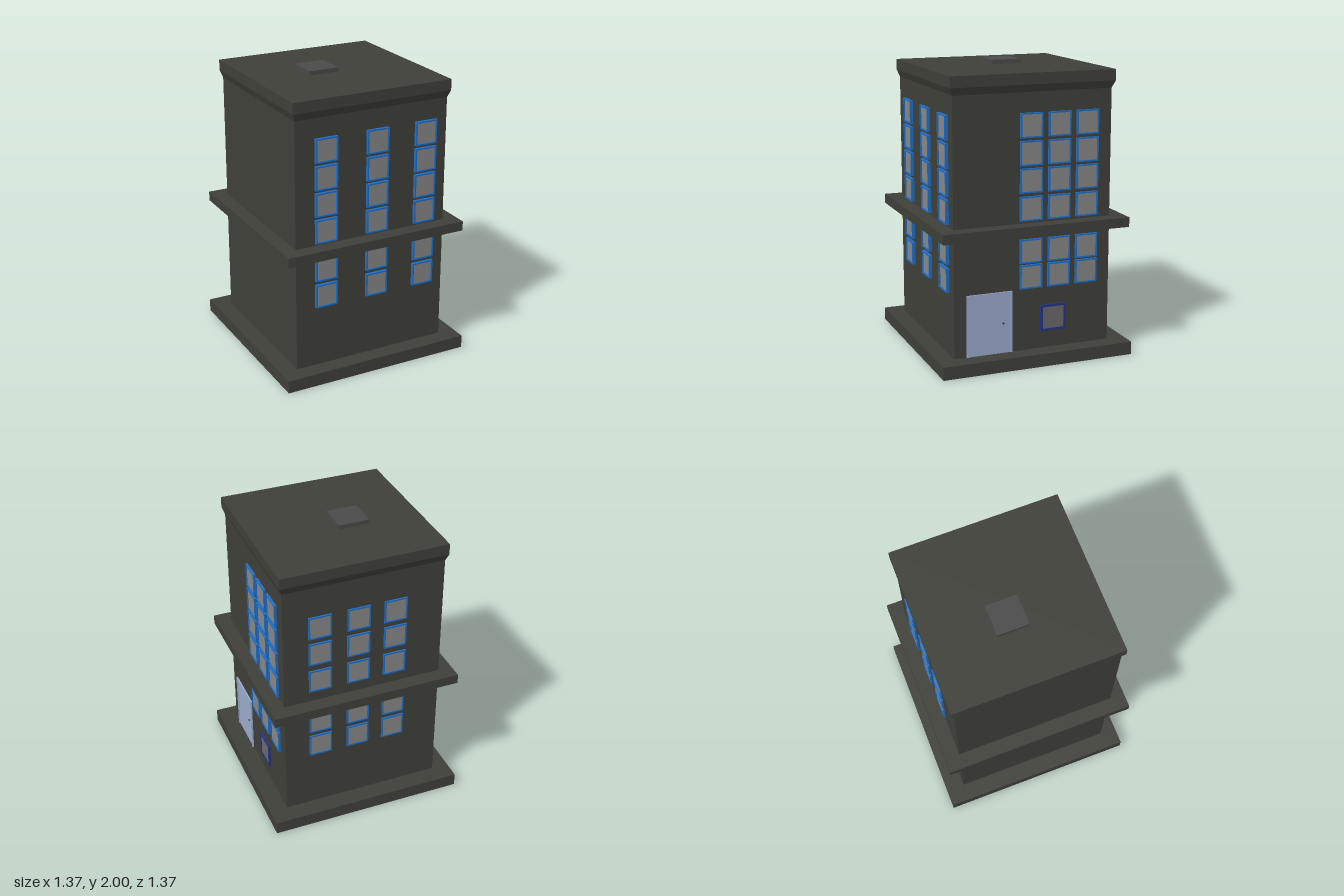
import * as THREE from 'three';

const mat = (color) => new THREE.MeshStandardMaterial({ color });
const wallMat = mat(0x40403a);
const ventMat = mat(0x4a4a4b);
const frameMat = mat(0x1f6fc8);
const paneMat = mat(0x888888);
const doorMat = mat(0x9cacce);
const navyMat = mat(0x26357f);
const darkPaneMat = mat(0x6a6a6a);
const knobMat = mat(0x2a2f3a);

// Box between two corners
function block(name, [x0, y0, z0], [x1, y1, z1], material) {
  const g = new THREE.BoxGeometry(x1 - x0, y1 - y0, z1 - z0);
  g.translate((x0 + x1) / 2, (y0 + y1) / 2, (z0 + z1) / 2);
  const m = new THREE.Mesh(g, material);
  m.name = name;
  return m;
}

// Rectangular frame around the origin, back on z = 0
function frame(name, w, h, border, depth, material) {
  const rect = (path, a, b) => path.moveTo(-a, -b).lineTo(a, -b).lineTo(a, b).lineTo(-a, b).closePath();
  const shape = rect(new THREE.Shape(), w / 2, h / 2);
  shape.holes.push(rect(new THREE.Path(), w / 2 - border, h / 2 - border));
  const m = new THREE.Mesh(new THREE.ExtrudeGeometry(shape, { depth, bevelEnabled: false }), material);
  m.name = name;
  return m;
}

// Framed window facing +z
function makeWindow(w, h, border, depth, fMat, pMat) {
  const g = new THREE.Group();
  g.name = 'window';
  g.add(frame('windowFrame', w, h, border, depth, fMat));
  g.add(block('windowPane', [-w / 2 + border, -h / 2 + border, 0], [w / 2 - border, h / 2 - border, depth * 0.6], pMat));
  return g;
}

// Grid of windows on a wall plane; columns run along the group's local x
function windowGrid(name, columns, rows, depth) {
  const g = new THREE.Group();
  g.name = name;
  for (const x of columns) {
    for (const y of rows) {
      const win = makeWindow(0.16, 0.165, 0.01, depth, frameMat, paneMat);
      win.position.set(x, y, 0);
      g.add(win);
    }
  }
  return g;
}

export function createModel() {
  const model = new THREE.Group();
  model.name = 'building';

  // Main masses
  model.add(block('base', [-0.685, 0, -0.685], [0.683, 0.09, 0.685], wallMat));
  model.add(block('walls', [-0.565, 0.09, -0.557], [0.56, 1.86, 0.567], wallMat));
  model.add(block('ledge', [-0.665, 0.905, -0.66], [0.66, 0.972, 0.67], wallMat));

  // Roof cornice with a flared underside
  const lo = [-0.582, 1.845, -0.578], hi = [0.578, 1.895, 0.586];
  model.add(block('cornice', [lo[0], 1.895, lo[2]], [hi[0], 1.97, hi[2]], wallMat));
  const flare = block('corniceFlare', lo, hi, wallMat);
  const p = flare.geometry.attributes.position;
  for (let i = 0; i < p.count; i++) {
    if (p.getY(i) < 1.87) {
      p.setX(i, p.getX(i) < 0 ? -0.565 : 0.56);
      p.setZ(i, p.getZ(i) < 0 ? -0.557 : 0.567);
    }
  }
  flare.geometry = flare.geometry.toNonIndexed();
  flare.geometry.computeVertexNormals();
  model.add(flare);

  // Roof hatch
  model.add(block('roofHatch', [-0.212, 1.965, -0.137], [0.002, 2, 0.08], ventMat));

  // Windows on three sides
  const sixRows = [1.628, 1.442, 1.258, 1.072, 0.8, 0.608];
  const front = windowGrid('frontWindows', [-0.345, 0.033, 0.397], sixRows, 0.022);
  front.position.z = 0.567;
  const sideRows = [1.628, 1.443, 1.26, 1.072, 0.782, 0.605];
  const side = windowGrid('sideWindows', [-0.022, 0.18, 0.382], sideRows, 0.016);
  side.position.x = 0.56;
  side.rotation.y = Math.PI / 2;
  const back = windowGrid('backWindows', [-0.305, -0.035, 0.225], [1.548, 1.345, 1.133, 0.79, 0.595], 0.012);
  back.position.z = -0.557;
  back.rotation.y = Math.PI;
  model.add(front, side, back);

  // Small entrance window
  const small = makeWindow(0.185, 0.185, 0.016, 0.014, navyMat, darkPaneMat);
  small.name = 'entranceWindow';
  small.position.set(0.56, 0.302, -0.143);
  small.rotation.y = Math.PI / 2;
  model.add(small);

  // Door: three-sided surround, leaf and knob
  const door = new THREE.Group();
  door.name = 'door';
  door.add(block('doorLeaf', [0.555, 0.09, 0.17], [0.564, 0.503, 0.465], doorMat));
  door.add(block('doorJamb', [0.555, 0.09, 0.465], [0.571, 0.503, 0.48], doorMat));
  door.add(block('doorJamb', [0.555, 0.09, 0.155], [0.571, 0.503, 0.17], doorMat));
  door.add(block('doorLintel', [0.555, 0.503, 0.155], [0.571, 0.518, 0.48], doorMat));
  const knob = new THREE.Mesh(new THREE.SphereGeometry(0.007, 12, 8), knobMat);
  knob.name = 'doorKnob';
  knob.position.set(0.567, 0.3, 0.22);
  door.add(knob);
  model.add(door);

  return model;
}
